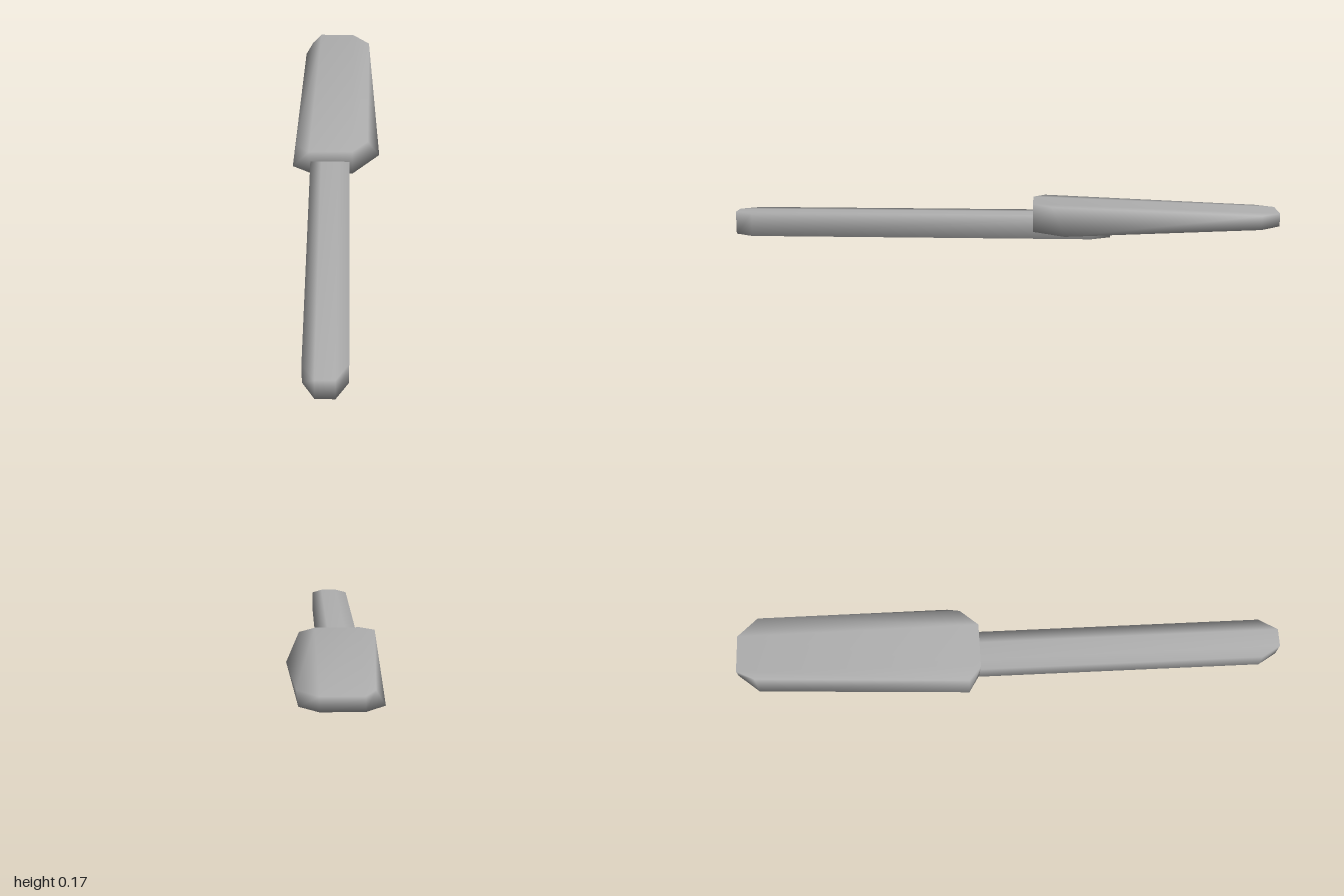
import * as THREE from 'three';

// Plan axis of the tool: "along" runs from the handle butt to the head tip,
// "across" runs square to it.
const toWorld = (along, across, y) => [
  0.673 * along + 0.74 * across, y, -0.74 * along + 0.673 * across,
];

// Solid between an eight-cornered lower and upper outline, smooth shaded.
// Outlines run counter-clockwise seen from above.
function chamferedSlab(lower, upper, lowY, highY) {
  const pos = [];
  lower.forEach(([t, s]) => pos.push(...toWorld(t, s, lowY(t))));
  upper.forEach(([t, s]) => pos.push(...toWorld(t, s, highY(t))));
  const index = [];
  const quad = (a, b, c, d) => index.push(a, b, c, a, c, d);
  for (let i = 0; i < 8; i++) {
    const j = (i + 1) % 8;
    quad(i, j, j + 8, i + 8);
  }
  // caps made of three lengthwise strips
  for (let i = 0; i < 3; i++) {
    quad(i + 8, i + 9, 14 - i, 15 - i);
    quad(7 - i, 6 - i, i + 1, i);
  }
  const geo = new THREE.BufferGeometry();
  geo.setAttribute('position', new THREE.Float32BufferAttribute(pos, 3));
  geo.setIndex(index);
  geo.computeVertexNormals();
  return geo;
}

export function createModel() {
  const group = new THREE.Group();
  const grey = new THREE.MeshStandardMaterial({ color: 0xb0b0b0 });
  grey.name = 'plain grey';
  const add = (name, geo) => {
    const mesh = new THREE.Mesh(geo, grey);
    mesh.name = name;
    group.add(mesh);
  };

  // Handle: long straight bar with chamfered ends
  const bar = [
    [-1.227, -0.115], [-1.316, -0.062], [-1.316, 0.022], [-1.227, 0.076],
    [0.4, 0.076], [0.49, 0.022], [0.49, -0.062], [0.4, -0.115],
  ];
  add('handle', chamferedSlab(bar, bar, () => 0, () => 0.108));

  // Head: broad block lying over the handle, thinning towards the tip
  const taper = (near, far) => (t) => {
    const k = THREE.MathUtils.clamp((t - 0.14) / 1.13, 0, 1);
    return THREE.MathUtils.lerp(near, far, k);
  };
  const headLower = [
    [0.18, -0.204], [0.13, -0.12], [0.123, 0.09], [0.273, 0.225],
    [1.181, 0.175], [1.277, 0.096], [1.278, -0.081], [1.176, -0.164],
  ];
  const headUpper = [
    [0.175, -0.188], [0.119, -0.122], [0.123, 0.09], [0.21, 0.165],
    [1.181, 0.183], [1.277, 0.096], [1.278, -0.081], [1.19, -0.125],
  ];
  add('head', chamferedSlab(headLower, headUpper, taper(0.036, 0.075), taper(0.17, 0.136)));

  return group;
}
